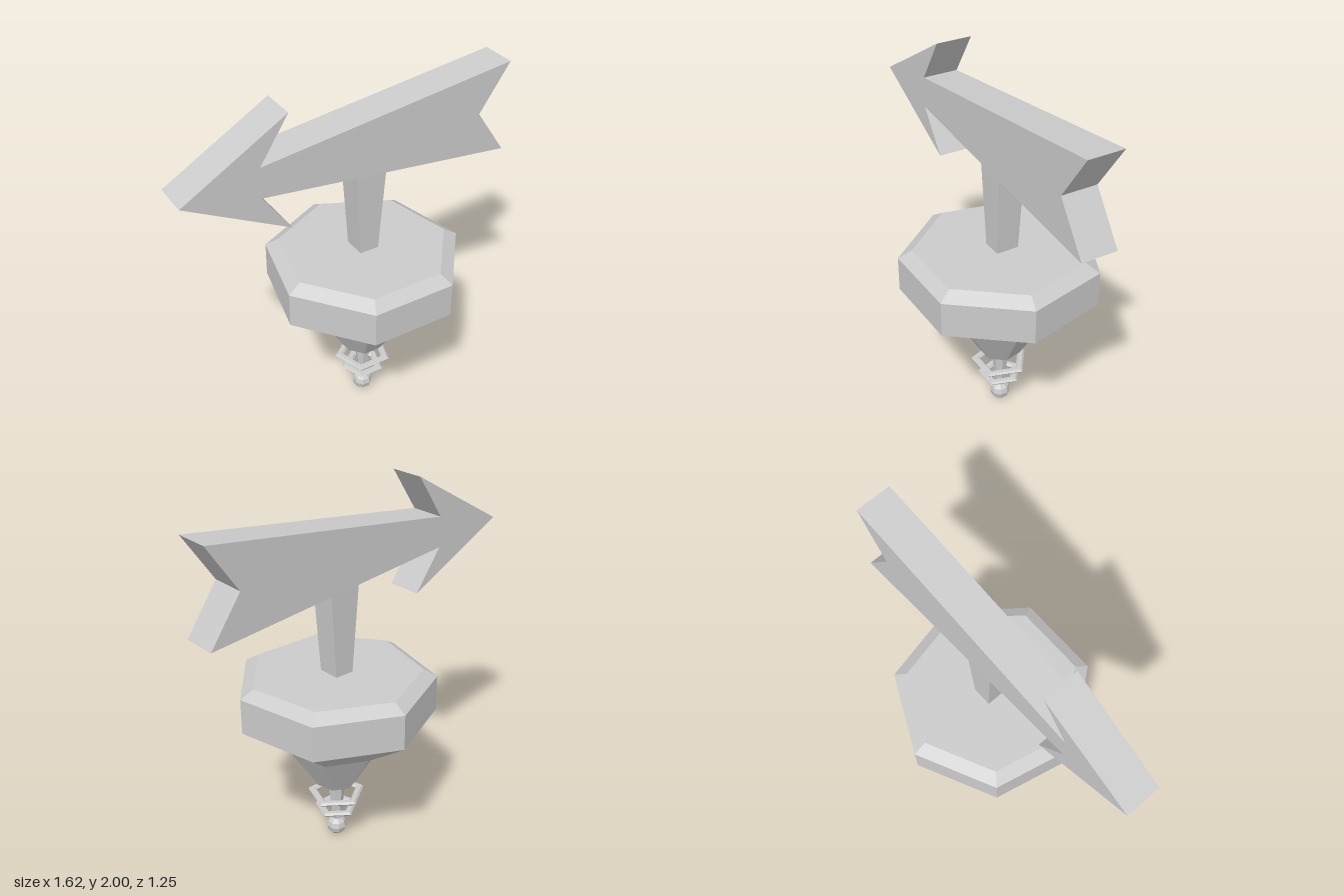
import * as THREE from 'three';

const material = new THREE.MeshStandardMaterial({ color: 0xcccccc, flatShading: true });
const TURN = THREE.MathUtils.degToRad(36);

function part(name, geometry, parent) {
  const mesh = new THREE.Mesh(geometry, material);
  mesh.name = name;
  parent.add(mesh);
  return mesh;
}

// Faceted solid of revolution from [radius, height] pairs, listed upward on the outside
function faceted(profile, sides, startDegrees) {
  const points = profile.map(([r, y]) => new THREE.Vector2(r, y));
  return new THREE.LatheGeometry(points, sides, THREE.MathUtils.degToRad(startDegrees));
}

export function createModel() {
  const model = new THREE.Group();
  model.name = 'spinningTopSign';

  // Everything on the spinning axis
  const top = new THREE.Group();
  top.name = 'spinningTop';
  top.position.set(0.095, 0, -0.058);
  model.add(top);

  part('body', faceted([
    [0, 0.35], [0.112, 0.35], [0.27, 0.6], [0.537, 0.79],
    [0.537, 0.985], [0.463, 1.03], [0, 1.03],
  ], 7, 10.1), top);

  // Tapered rod and round tip
  part('rod', faceted([[0.025, 0.09], [0.028, 0.12], [0.05, 0.36]], 7, 10.1), top);
  const ball = [];
  for (let i = 0; i <= 6; i++) {
    const a = (i / 6 - 0.5) * Math.PI;
    ball.push([Math.max(0, 0.056 * Math.cos(a)), 0.056 + 0.056 * Math.sin(a)]);
  }
  part('ballTip', faceted(ball, 8, 10.1), top);

  // Thin five-sided rings around the rod
  for (const [name, y, radius] of [['upperRing', 0.27, 0.163], ['lowerRing', 0.18, 0.124]]) {
    const inner = radius - 0.05;
    part(name, faceted([
      [inner, 0], [inner + 0.012, -0.011], [radius - 0.012, -0.011], [radius, 0],
      [radius - 0.012, 0.011], [inner + 0.012, 0.011], [inner, 0],
    ], 5, 0), top).position.y = y;
  }

  // Arrow and its post share one turned frame
  const sign = new THREE.Group();
  sign.name = 'sign';
  sign.rotation.y = TURN;
  model.add(sign);

  const outline = new THREE.Shape([
    [-0.931, 1.672], [-0.362, 1.37], [-0.519, 1.592], [0.926, 1.42],
    [0.75, 1.675], [0.926, 1.93], [-0.519, 1.76], [-0.362, 2.0],
  ].map(([x, y]) => new THREE.Vector2(x, y)));
  const depth = 0.197;
  const arrow = new THREE.ExtrudeGeometry(outline, { depth, bevelEnabled: false });
  arrow.translate(0, 0, -depth / 2);
  part('arrow', arrow, sign);

  // Post widens upward into the arrow
  const post = new THREE.BoxGeometry(1, 0.6, 1);
  const p = post.attributes.position;
  for (let i = 0; i < p.count; i++) {
    const upper = p.getY(i) > 0;
    p.setX(i, p.getX(i) * (upper ? 0.19 : 0.107));
    p.setZ(i, p.getZ(i) * (upper ? 0.15 : 0.125));
  }
  post.computeVertexNormals();
  part('post', post, sign).position.set(0.11, 1.31, 0);

  return model;
}
